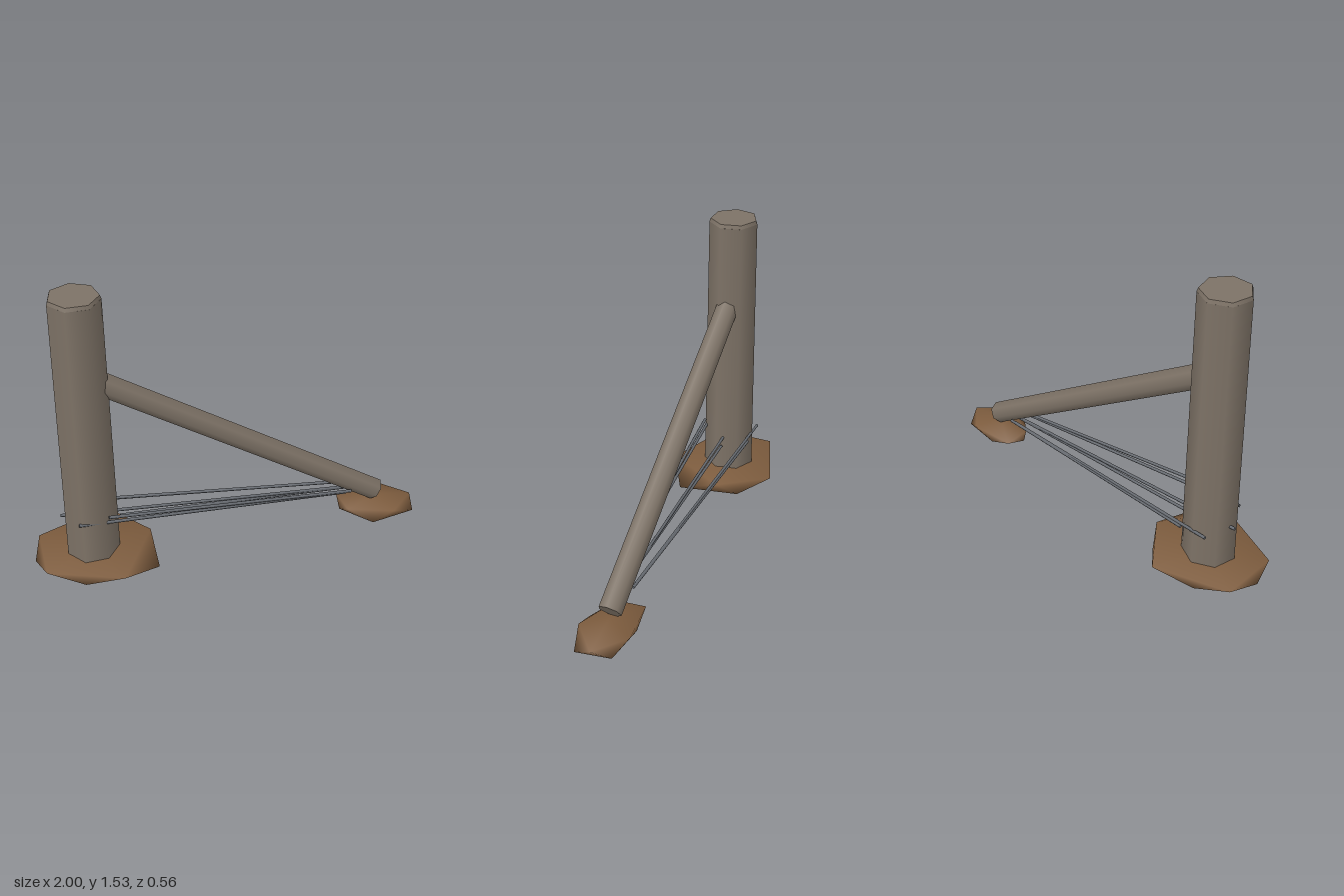
import * as THREE from 'three';

const wood = new THREE.MeshStandardMaterial({ color: 0x7d7266 });
wood.name = 'weathered wood';
const earth = new THREE.MeshStandardMaterial({ color: 0x7d5c3e });
earth.name = 'earth';
const steel = new THREE.MeshStandardMaterial({ color: 0x666a70 });
steel.name = 'steel wire';

const V = (x, y, z) => new THREE.Vector3(x, y, z);

// Tapered pole from a to b
function pole(name, a, b, ra, rb, sides, material, start = 0) {
  const dir = b.clone().sub(a);
  const geo = new THREE.CylinderGeometry(rb, ra, dir.length(), sides, 1, false, start);
  const mesh = new THREE.Mesh(geo, material);
  mesh.position.copy(a).add(b).multiplyScalar(0.5);
  mesh.quaternion.setFromUnitVectors(V(0, 1, 0), dir.normalize());
  mesh.name = name;
  return mesh;
}

// Squashed twelve-point lump: top and bottom tips with two staggered rings of five
function mound(name, top, bottom, upper, lower) {
  const points = [top, ...upper, ...lower, bottom];
  const index = [];
  for (let i = 0; i < 5; i++) {
    const j = (i + 1) % 5;
    const u = 1 + i, un = 1 + j, l = 6 + i, ln = 6 + j;
    index.push(0, un, u, u, un, l, l, un, ln, 11, l, ln);
  }
  const geo = new THREE.BufferGeometry();
  geo.setAttribute('position', new THREE.Float32BufferAttribute(points.flat(), 3));
  geo.setIndex(index);
  geo.computeVertexNormals();
  const mesh = new THREE.Mesh(geo, earth);
  mesh.name = name;
  return mesh;
}

export function createModel() {
  const model = new THREE.Group();
  model.name = 'bracedFencePost';

  // Upright post with a chamfered top
  const neck = V(-0.7, 1.522, 0.004);
  model.add(
    pole('post', V(-0.707, 0.03, 0), neck, 0.135, 0.123, 7, wood, Math.PI),
    pole('postChamfer', neck, V(-0.7, 1.54, 0.004), 0.123, 0.117, 7, wood, Math.PI)
  );

  // Diagonal brace
  model.add(pole('brace', V(0.795, 0.175, 0), V(-0.66, 1.106, 0), 0.058, 0.058, 7, wood, Math.PI / 2));

  // Tension wires spiralling down the post and gathering at the brace foot
  const wires = new THREE.Group();
  wires.name = 'tensionWires';
  for (let i = 1; i <= 6; i++) {
    const t = (i * Math.PI) / 3, c = Math.cos(t), s = Math.sin(t);
    const a = V(-0.706 + 0.147 * c, 0.395 - 0.02 * i, 0.145 * s - 0.008);
    const b = V(0.63 + 0.03 * c, 0.226 - 0.002 * i, 0.055 * s);
    wires.add(pole('wire' + i, a, b, 0.008, 0.008, 6, steel));
  }
  model.add(wires);

  // Earth heaped around both feet
  model.add(
    mound('postMound', [-0.7, 0.125, 0], [-0.71, 0.005, 0],
      [[-0.405, 0.125, -0.04], [-0.595, 0.115, 0.28], [-0.96, 0.11, 0.14], [-0.96, 0.11, -0.155], [-0.595, 0.115, -0.285]],
      [[-0.405, 0.052, 0.17], [-0.78, 0.045, 0.2], [-1, 0.08, 0], [-0.78, 0.045, -0.2], [-0.47, 0.05, -0.14]]),
    mound('braceMound', [0.8, 0.136, 0], [0.81, 0.03, 0],
      [[1, 0.102, 0], [0.86, 0.108, 0.13], [0.635, 0.1, 0.045], [0.62, 0.1, -0.1], [0.855, 0.108, -0.128]],
      [[0.985, 0.057, 0.09], [0.745, 0.06, 0.135], [0.605, 0.075, 0], [0.745, 0.055, -0.11], [0.955, 0.055, -0.085]])
  );
  return model;
}
